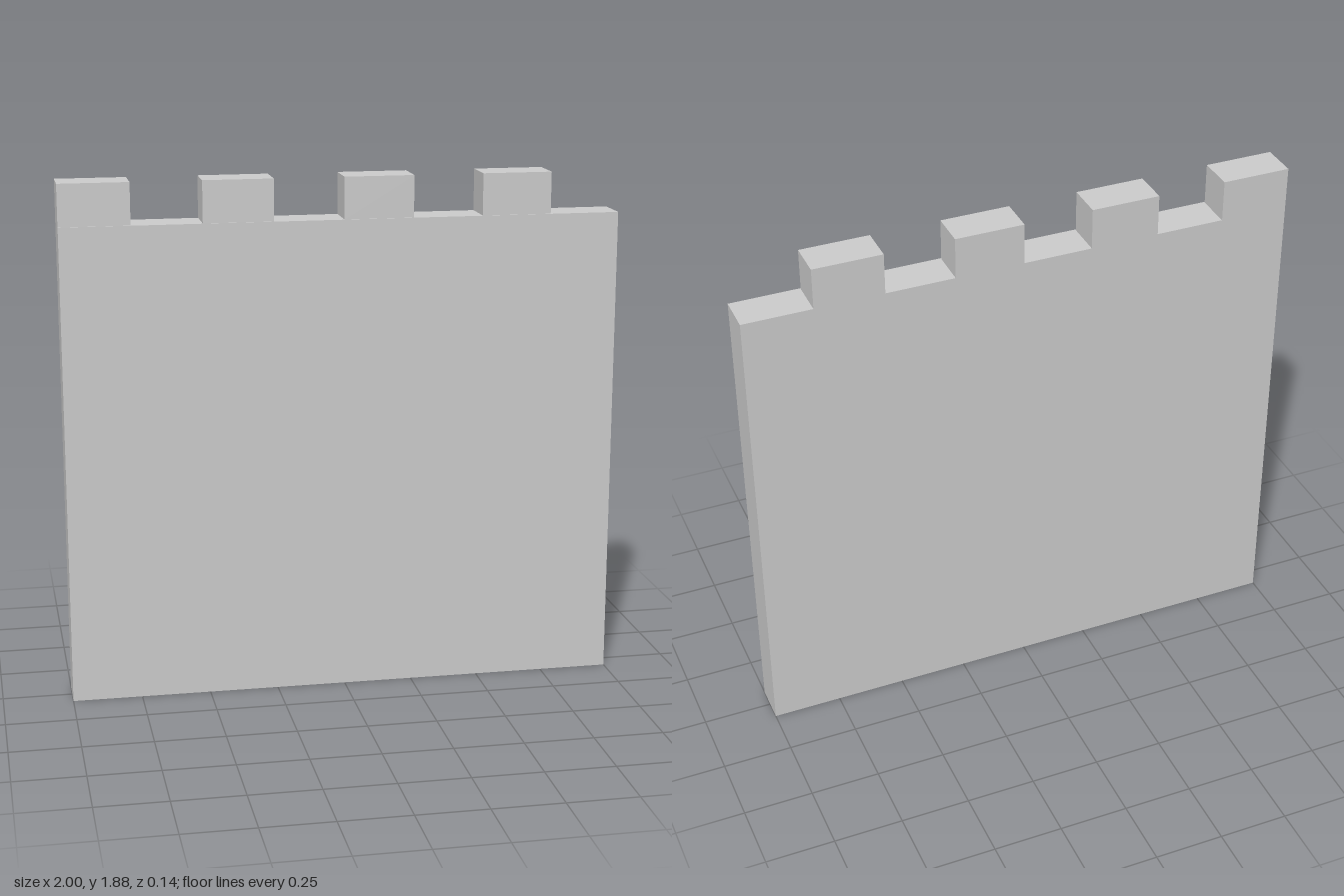
import * as THREE from 'three';

const WALL_HEIGHT = 1.727;
const MERLON_HEIGHT = 0.15;
const BACK = -0.07;

export function createModel() {
  const group = new THREE.Group();
  const material = new THREE.MeshStandardMaterial({ color: 0xcccccc, flatShading: true });

  // Box given by its left edge, base and size; its back is flush with the wall's back
  function block(name, x, y, width, height, depth) {
    const mesh = new THREE.Mesh(new THREE.BoxGeometry(width, height, depth), material);
    mesh.position.set(x + width / 2, y + height / 2, BACK + depth / 2);
    mesh.name = name;
    group.add(mesh);
  }

  // Flat wall slab
  block('wall', -1, 0, 2, WALL_HEIGHT, 0.14);

  // Four merlons, set back slightly from the front face
  for (let i = 0; i < 4; i++) {
    block('merlon' + (i + 1), -1 + i * 0.5, WALL_HEIGHT, 0.25, MERLON_HEIGHT, 0.135);
  }

  return group;
}
